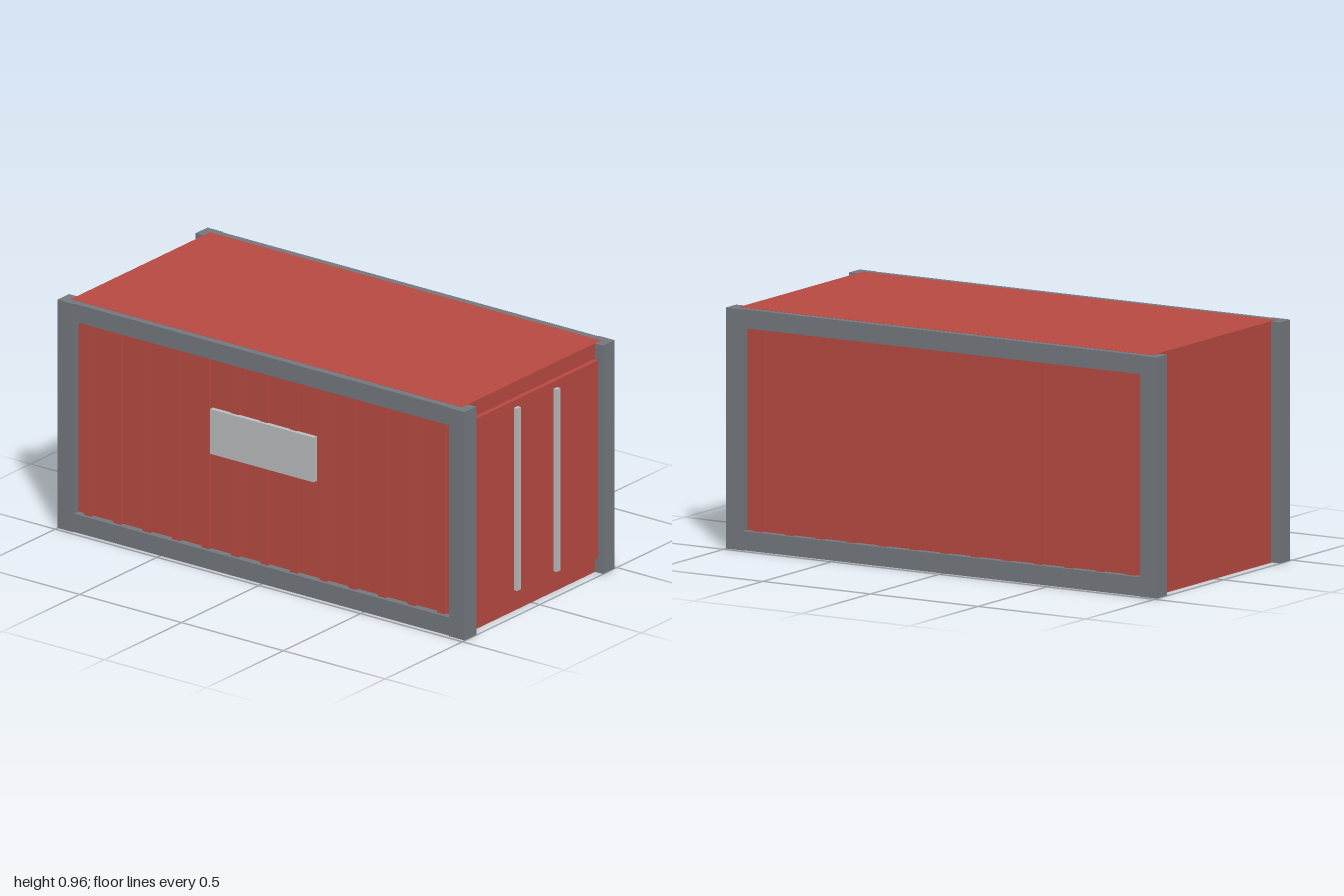
import * as THREE from 'three';

const material = (name, color) => {
  const m = new THREE.MeshStandardMaterial({ color });
  m.name = name;
  return m;
};

export function createModel() {
  const red = material('containerRed', 0xb84a41);
  const steel = material('frameGrey', 0x74787d);
  const pale = material('paleGrey', 0xbcbdbe);
  const root = new THREE.Group();
  root.name = 'shippingContainer';

  // Box given by its minimum and maximum corners
  const box = (name, mat, [x0, y0, z0], [x1, y1, z1], parent = root) => {
    const mesh = new THREE.Mesh(new THREE.BoxGeometry(x1 - x0, y1 - y0, z1 - z0), mat);
    mesh.position.set((x0 + x1) / 2, (y0 + y1) / 2, (z0 + z1) / 2);
    mesh.name = name;
    parent.add(mesh);
    return mesh;
  };

  // Closed body, a hair taller than the frame so roof and floor stay clean
  box('body', red, [-0.96, 0, -0.45], [0.96, 0.961, 0.45]);

  // Both long sides: corner posts, rails and vertical ribs
  for (const side of [1, -1]) {
    const wall = new THREE.Group();
    wall.name = side > 0 ? 'frontWall' : 'backWall';
    wall.rotation.y = side > 0 ? 0 : Math.PI;
    root.add(wall);

    box('cornerPost', steel, [-1, 0.001, 0.41], [-0.923, 0.96, 0.486], wall);
    box('cornerPost', steel, [0.923, 0.001, 0.41], [1, 0.96, 0.486], wall);
    box('bottomRail', steel, [-0.925, 0.001, 0.44], [0.925, 0.077, 0.481], wall);
    box('topRail', steel, [-0.925, 0.885, 0.44], [0.925, 0.96, 0.481], wall);

    for (let i = -6; i <= 6; i++) {
      const x = i * 0.1445;
      box('wallRib', red, [x - 0.0185, 0.07, 0.445], [x + 0.0185, 0.89, 0.465], wall);
    }
  }

  // Blank plate on the front wall
  box('signPlate', pale, [-0.255, 0.487, 0.46], [0.255, 0.675, 0.48]);

  // Door end with two locking rods
  box('doorPanel', red, [0.955, 0.066, -0.405], [0.98, 0.896, 0.405]);
  for (const z of [-0.128, 0.128]) {
    box('lockingRod', pale, [0.973, 0.1, z - 0.012], [0.997, 0.866, z + 0.012]);
  }

  return root;
}
